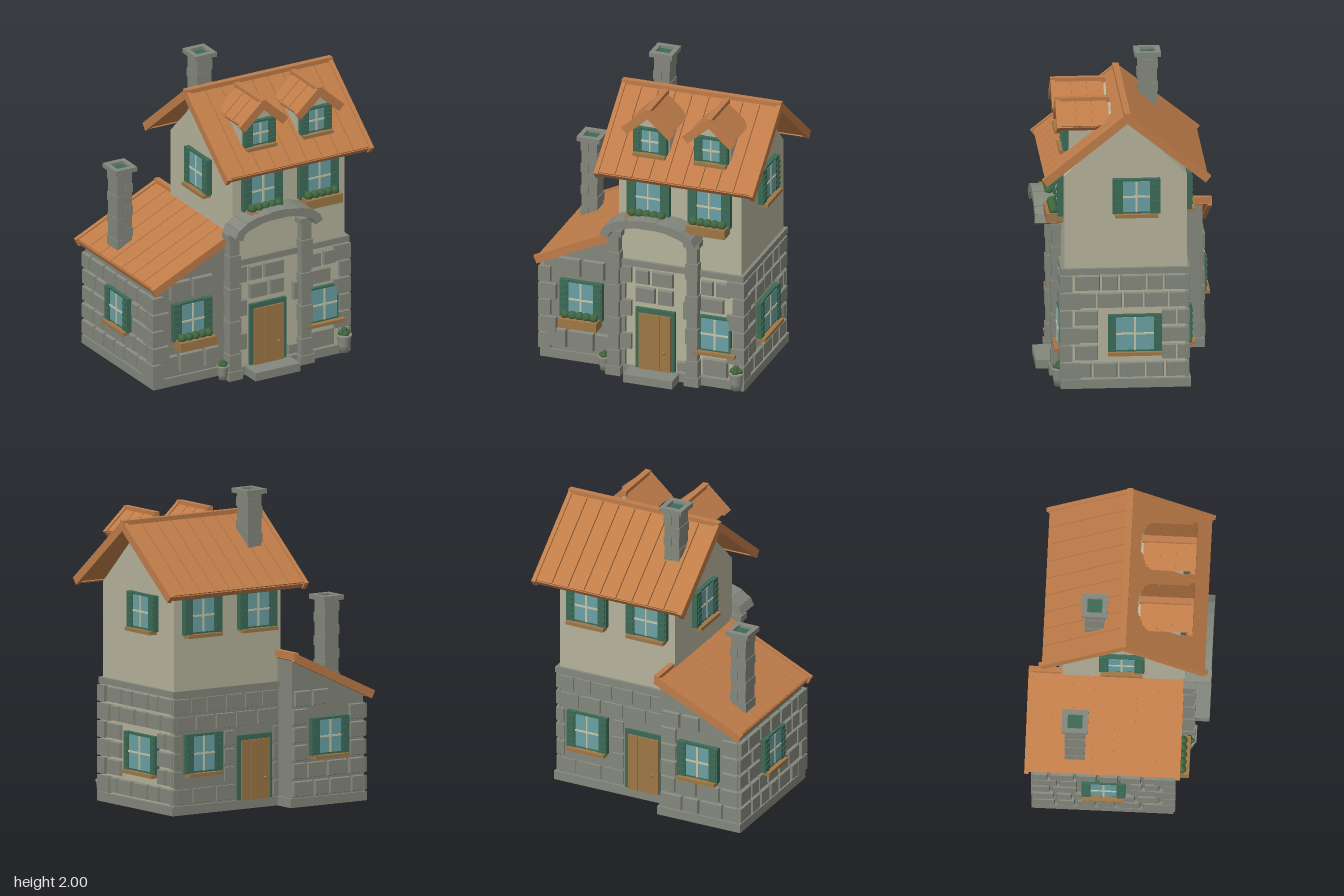
import * as THREE from 'three';

const mat = (name, color, side = THREE.FrontSide) =>
  Object.assign(new THREE.MeshStandardMaterial({ color, side }), { name });
const M = {
  roof: mat('roofTile', 0xbf7c49), stone: mat('stone', 0x84877c), plaster: mat('plaster', 0xb5b39b),
  wood: mat('wood', 0x9e7746), green: mat('greenPaint', 0x3c6a56), glass: mat('glass', 0x6aa0a4),
  bar: mat('glazingBar', 0xc6c5a6), leaf: mat('leaf', 0x41663f), pot: mat('pot', 0x8f9186),
};
let seed = 7;
const rand = () => (seed = (seed * 16807) % 2147483647) / 2147483647;

function add(parent, name, geo, material, x = 0, y = 0, z = 0) {
  const m = new THREE.Mesh(geo, material);
  m.name = name;
  m.position.set(x, y, z);
  parent.add(m);
  return m;
}
function group(parent, name, x = 0, y = 0, z = 0, rotY = 0) {
  const g = new THREE.Group();
  g.name = name;
  g.position.set(x, y, z);
  g.rotation.y = rotY;
  parent.add(g);
  return g;
}
// box given by its two corners
function box(parent, name, material, x0, x1, y0, y1, z0, z1) {
  return add(parent, name, new THREE.BoxGeometry(x1 - x0, y1 - y0, z1 - z0), material,
    (x0 + x1) / 2, (y0 + y1) / 2, (z0 + z1) / 2);
}
// wall stone with a chamfered outer face
function stone(wall, u0, u1, v0, v1, d = 0.025) {
  const m = box(wall, 'stoneBlock', M.stone, u0, u1, v0, v1, -0.01, d);
  const p = m.geometry.attributes.position;
  for (let i = 0; i < p.count; i++) if (p.getZ(i) > 0) {
    p.setX(i, p.getX(i) - Math.sign(p.getX(i)) * 0.008);
    p.setY(i, p.getY(i) - Math.sign(p.getY(i)) * 0.008);
  }
  m.geometry.computeVertexNormals();
}
// rows of stones that leave out rectangular openings [u0, u1, v0, v1]
function stoneRows(wall, u0, u1, rows, openings, avg = 0.15, d = 0.025) {
  for (let r = 0; r < rows; r++) {
    const v0 = 0.062 + r * 0.115, v1 = v0 + 0.106;
    let spans = [[u0, u1]];
    for (const o of openings) if (o[2] < v1 - 0.02 && o[3] > v0 + 0.02)
      spans = spans.flatMap(([a, b]) => [[a, Math.min(b, o[0])], [Math.max(a, o[1]), b]]).filter(([a, b]) => b - a > 0.03);
    for (const [a, b] of spans) {
      const n = Math.max(1, Math.round((b - a) / avg + (r % 2 ? 0.3 : -0.2))), w = (b - a) / n;
      let s = a;
      for (let i = 1; i <= n; i++) {
        const e = i === n ? b : a + w * (i + (rand() - 0.5) * 0.4);
        stone(wall, s + 0.004, e - 0.004, v0, v1, d - 0.006 * rand());
        s = e;
      }
    }
  }
}
// corner stones of alternating length; sx, sz point outwards
function quoins(parent, x, z, sx, sz, rows) {
  for (let r = 0; r < rows; r++) {
    const a = r % 2 ? 0.09 : 0.05, b = r % 2 ? 0.05 : 0.1, y = 0.115 + r * 0.115, o = 0.028;
    add(parent, 'cornerStone', new THREE.BoxGeometry(a + o, 0.104, b + o), M.stone,
      x + sx * (o - a) / 2, y, z + sz * (o - b) / 2);
  }
}
function makeWindow(wall, u, v, w, h, { shutter = 0.06, planter = false } = {}) {
  const g = group(wall, 'window', u, v, 0), W = w / 2, H = h / 2;
  box(g, 'windowFrame', M.green, -W - 0.014, W + 0.014, -H - 0.014, H + 0.014, -0.01, 0.028);
  box(g, 'windowGlass', M.glass, -W, W, -H, H, 0.026, 0.031);
  box(g, 'uprightBar', M.bar, -0.006, 0.006, -H, H, 0.03, 0.036);
  box(g, 'crossBar', M.bar, -W, W, -0.006, 0.006, 0.03, 0.036);
  if (shutter) for (const s of [-1, 1]) {
    const c = s * (W + shutter / 2);
    box(g, 'shutter', M.green, c - shutter / 2, c + shutter / 2, -H - 0.015, H + 0.015, 0, 0.036);
    for (let i = 0; i < 5; i++)
      add(g, 'shutterSlat', new THREE.BoxGeometry(shutter * 0.7, h * 0.1, 0.01), M.green, c, (i - 2) * h * 0.19, 0.038);
  }
  if (planter) {
    box(g, 'planterBox', M.wood, -0.13, 0.13, -H - 0.06, -H, 0, 0.108);
    for (let i = -2; i <= 2; i++)
      add(g, 'planterBush', new THREE.IcosahedronGeometry(0.03, 1), M.leaf, i * 0.048, -H + 0.014, 0.06);
  } else box(g, 'windowSill', M.wood, -W - 0.05, W + 0.05, -H - 0.034, -H - 0.012, 0, 0.06);
}
function makeDoor(wall, u) {
  const g = group(wall, 'door', u, 0.05, 0);
  box(g, 'doorFrame', M.green, -0.132, 0.132, 0, 0.42, -0.01, 0.022);
  for (let i = -1; i <= 1; i++)
    box(g, 'doorPlank', M.wood, i * 0.072 - 0.035, i * 0.072 + 0.035, 0.006, 0.388, 0, 0.034);
  add(g, 'doorKnob', new THREE.SphereGeometry(0.011, 10, 8), M.wood, 0.068, 0.14, 0.042);
}
// planked roof plane running down along its own +z
function slope(parent, x, y, z, rotY, pitch, len, width, planks, trims = [-1, 1]) {
  const g = group(group(parent, 'roofSide', x, y, z, rotY), 'roofPlane');
  g.rotation.x = pitch;
  box(g, 'roofDeck', M.roof, -width / 2, width / 2, -0.018, 0.006, 0, len);
  const p = (width - 0.02) / planks;
  for (let i = 0; i < planks; i++) {
    const a = -width / 2 + 0.01 + i * p;
    box(g, 'roofPlank', M.roof, a + 0.003, a + p - 0.003, 0, 0.018, 0, len - 0.006);
  }
  for (const s of trims) box(g, 'bargeBoard', M.roof, s * width / 2 - 0.014, s * width / 2 + 0.014, -0.026, 0.028, 0, len + 0.012);
  box(g, 'eaveBoard', M.roof, -width / 2, width / 2, -0.025, 0.01, len - 0.014, len);
}
// prism from a profile in x-y, extruded along z
function prism(parent, name, material, pts, depth) {
  const s = new THREE.Shape(pts.map(([a, b]) => new THREE.Vector2(a, b)));
  return add(parent, name, new THREE.ExtrudeGeometry(s, { depth, bevelEnabled: false }), material);
}
function chimney(parent, x, z, y0, y1) {
  const g = group(parent, 'chimney', x, 0, z);
  box(g, 'chimneyStack', M.stone, -0.052, 0.052, y0, y1 - 0.02, -0.06, 0.06);
  for (let y = y0 + 0.06, i = 0; y < y1 - 0.08; y += 0.075, i++) {
    const s = i % 2 ? 1 : -1;
    box(g, 'chimneyStone', M.stone, s * 0.03 - 0.027, s * 0.03 + 0.027, y, y + 0.06, -0.064, 0.064);
  }
  const ring = new THREE.Shape([[-1, -1], [1, -1], [1, 1], [-1, 1]].map(([a, b]) => new THREE.Vector2(a * 0.078, b * 0.083)));
  ring.holes.push(new THREE.Path([[-1, -1], [-1, 1], [1, 1], [1, -1]].map(([a, b]) => new THREE.Vector2(a * 0.047, b * 0.047))));
  const cap = add(g, 'chimneyCap', new THREE.ExtrudeGeometry(ring, { depth: 0.03, bevelEnabled: false }), M.stone, 0, y1 - 0.03, 0);
  cap.rotation.x = -Math.PI / 2;
  box(g, 'chimneyOpening', M.green, -0.047, 0.047, y1 - 0.026, y1 - 0.018, -0.047, 0.047);
}

export function createModel() {
  const house = new THREE.Group();
  house.name = 'cottage';
  const Q = Math.PI / 2;

  // main body with gables, base and string course
  const body = prism(house, 'mainWalls', M.plaster, [[-0.41, 0.03], [0.365, 0.03], [0.365, 1.4], [-0.02, 1.78], [-0.41, 1.4]], 0.82);
  body.rotation.y = Q;
  body.position.set(-0.19, 0, 0);
  body.scale.x = 1;
  box(house, 'mainPlinth', M.stone, -0.21, 0.658, 0, 0.058, -0.39, 0.435);
  box(house, 'stringCourse', M.stone, -0.205, 0.652, 0.75, 0.79, -0.385, 0.432);

  // side annex
  const annex = prism(house, 'annexWalls', M.stone, [[-0.72, 0.03], [-0.17, 0.03], [-0.17, 0.935], [-0.72, 0.68]], 0.865);
  annex.position.z = -0.52;
  box(house, 'annexPlinth', M.stone, -0.74, -0.15, 0, 0.058, -0.535, 0.362);

  // front wall
  const front = group(house, 'frontWall', 0, 0, 0.41);
  for (const x of [0.015, 0.425]) makeWindow(front, x, 1.245, 0.165, 0.23, { planter: true });
  makeWindow(front, 0.462, 0.365, 0.185, 0.21, { shutter: 0 });
  makeDoor(front, 0.058);
  const frontStones = [[-0.08, 0.02, 0.63, 0.735], [0.03, 0.18, 0.63, 0.735], [-0.08, 0.06, 0.505, 0.615], [0.07, 0.18, 0.505, 0.615],
    [0.36, 0.45, 0.62, 0.725], [0.46, 0.555, 0.62, 0.725], [0.36, 0.52, 0.505, 0.61], [0.24, 0.285, 0.43, 0.56],
    [0.2, 0.28, 0.065, 0.14], [0.37, 0.545, 0.065, 0.19]];
  for (const s of frontStones) stone(front, ...s);
  quoins(house, 0.63, 0.41, 1, 1, 6);
  quoins(house, -0.19, 0.41, -1, 1, 6);

  // right-hand gable wall and back wall
  const side = group(house, 'gableWall', 0.63, 0, 0, Q);
  makeWindow(side, 0.045, 1.265, 0.17, 0.2, { shutter: 0.065 });
  makeWindow(side, 0.035, 0.36, 0.24, 0.215, { shutter: 0.05 });
  stoneRows(side, -0.35, 0.385, 6, [[-0.19, 0.2, 0.19, 0.5]]);
  const back = group(house, 'backWall', 0, 0, -0.365, Math.PI);
  box(back, 'backStoneFacing', M.stone, -0.63, 0.19, 0.03, 0.76, -0.01, 0.008);
  for (const x of [-0.425, 0]) makeWindow(back, x, 1.265, 0.165, 0.21);
  makeWindow(back, -0.42, 0.385, 0.165, 0.22);
  makeDoor(back, -0.022);
  stoneRows(back, -0.655, 0.17, 6, [[-0.58, -0.26, 0.25, 0.52], [-0.16, 0.115, 0, 0.48]], 0.15, 0.02);
  makeWindow(group(house, 'innerGableWall', -0.19, 0, 0, -Q), 0.01, 1.265, 0.165, 0.21);

  // annex faces
  const aFront = group(house, 'annexFront', 0, 0, 0.345);
  makeWindow(aFront, -0.46, 0.432, 0.165, 0.225, { planter: true });
  for (const s of [[-0.62, -0.465, 0.58, 0.71], [-0.455, -0.305, 0.58, 0.71], [-0.7, -0.56, 0.08, 0.21],
    [-0.55, -0.375, 0.08, 0.21], [-0.365, -0.26, 0.08, 0.21]]) stone(aFront, ...s);
  quoins(house, -0.72, 0.345, -1, 1, 5);
  const aSide = group(house, 'annexSide', -0.72, 0, 0, -Q);
  makeWindow(aSide, -0.08, 0.4, 0.165, 0.2, { shutter: 0.055 });
  stoneRows(aSide, -0.54, 0.28, 5, [[-0.24, 0.08, 0.27, 0.52]], 0.14);
  const aBack = group(house, 'annexBack', 0, 0, -0.52, Math.PI);
  makeWindow(aBack, 0.445, 0.44, 0.165, 0.21);
  stoneRows(aBack, 0.165, 0.735, 5, [[0.29, 0.6, 0.31, 0.56]], 0.15, 0.02);
  for (let i = 0; i < 2; i++) stone(aBack, 0.18 + i * 0.14, 0.31 + i * 0.14, 0.637, 0.743, 0.02);

  // roofs
  const roof = group(house, 'mainRoof', 0.225, 1.81, 0.02);
  slope(roof, 0, 0, 0, 0, 0.675, 0.655, 1.04, 9);
  slope(roof, 0, 0, 0, Math.PI, 0.675, 0.645, 1.04, 9);
  box(roof, 'ridgeCap', M.roof, -0.535, 0.535, 0, 0.035, -0.02, 0.02);
  const lean = group(house, 'annexRoof', -0.155, 0.962, -0.088);
  slope(lean, 0, 0, 0, -Q, 0.44, 0.655, 0.955, 7);
  box(lean, 'annexRidgeCap', M.roof, -0.03, 0.006, -0.015, 0.03, -0.49, 0.47);

  // dormers
  for (const x of [0.015, 0.425]) {
    const d = group(house, 'dormer', x, 0, 0);
    const w = prism(d, 'dormerWalls', M.plaster, [[-0.12, 1.51], [0.12, 1.51], [0.12, 1.71], [0, 1.82], [-0.12, 1.71]], 0.27);
    w.position.z = 0.105;
    for (const s of [-1, 1]) slope(d, 0, 1.83, 0.28, s * Q, 0.73, 0.2, 0.32, 3, [-s]);
    box(d, 'dormerRidge', M.roof, -0.02, 0.02, 1.825, 1.86, 0.11, 0.455);
    makeWindow(group(d, 'dormerFront', 0, 0, 0.375), 0, 1.622, 0.115, 0.14, { shutter: 0.055 });
  }

  // chimneys
  chimney(house, -0.093, -0.165, 1.45, 2);
  chimney(house, -0.617, -0.265, 0.68, 1.29);

  // porch arch on two block columns, with a doorstep
  const porch = group(house, 'porch');
  for (const x of [-0.207, 0.318]) {
    box(porch, 'columnBase', M.stone, x - 0.05, x + 0.05, 0, 0.06, 0.4, 0.485);
    for (let i = 0; i < 8; i++) {
      const e = i % 2 ? 0.034 : 0.041;
      box(porch, 'columnBlock', M.stone, x - e, x + e, 0.06 + i * 0.1125, 0.17 + i * 0.1125, 0.4, 0.434 + e);
    }
    box(porch, 'columnCapital', M.stone, x - 0.053, x + 0.053, 0.96, 1.0, 0.4, 0.48);
  }
  const arc = t => [0.056 - 0.29 * Math.cos(t), 1.005 + 0.11 * Math.sin(t)];
  for (let i = 0; i < 9; i++) {
    const [ax, ay] = arc(i * Math.PI / 9), [bx, by] = arc((i + 1) * Math.PI / 9);
    const b = add(porch, 'archStone', new THREE.BoxGeometry(Math.hypot(bx - ax, by - ay) + 0.012, i % 2 ? 0.05 : 0.056, 0.165),
      M.stone, (ax + bx) / 2, (ay + by) / 2, 0.4925);
    b.rotation.z = Math.atan2(by - ay, bx - ax);
  }
  box(porch, 'doorstep', M.stone, -0.11, 0.22, 0, 0.055, 0.42, 0.56);

  // potted plants
  const profile = [[0, 0], [0.032, 0], [0.04, 0.05], [0.046, 0.1], [0.05, 0.105], [0.05, 0.12], [0, 0.115]];
  for (const [x, s] of [[-0.28, 0.8], [0.607, 1]]) {
    const p = group(house, 'pottedPlant', x, 0.01, 0.44);
    p.scale.setScalar(s);
    add(p, 'pot', new THREE.LatheGeometry(profile.map(([a, b]) => new THREE.Vector2(a, b)), 14), M.pot);
    for (let i = 0; i < 5; i++)
      add(p, 'potLeaves', new THREE.IcosahedronGeometry(0.022, 1), M.leaf,
        i < 4 ? 0.022 * Math.cos(i * Q) : 0, i < 4 ? 0.125 : 0.145, i < 4 ? 0.022 * Math.sin(i * Q) : 0);
  }
  return house;
}
